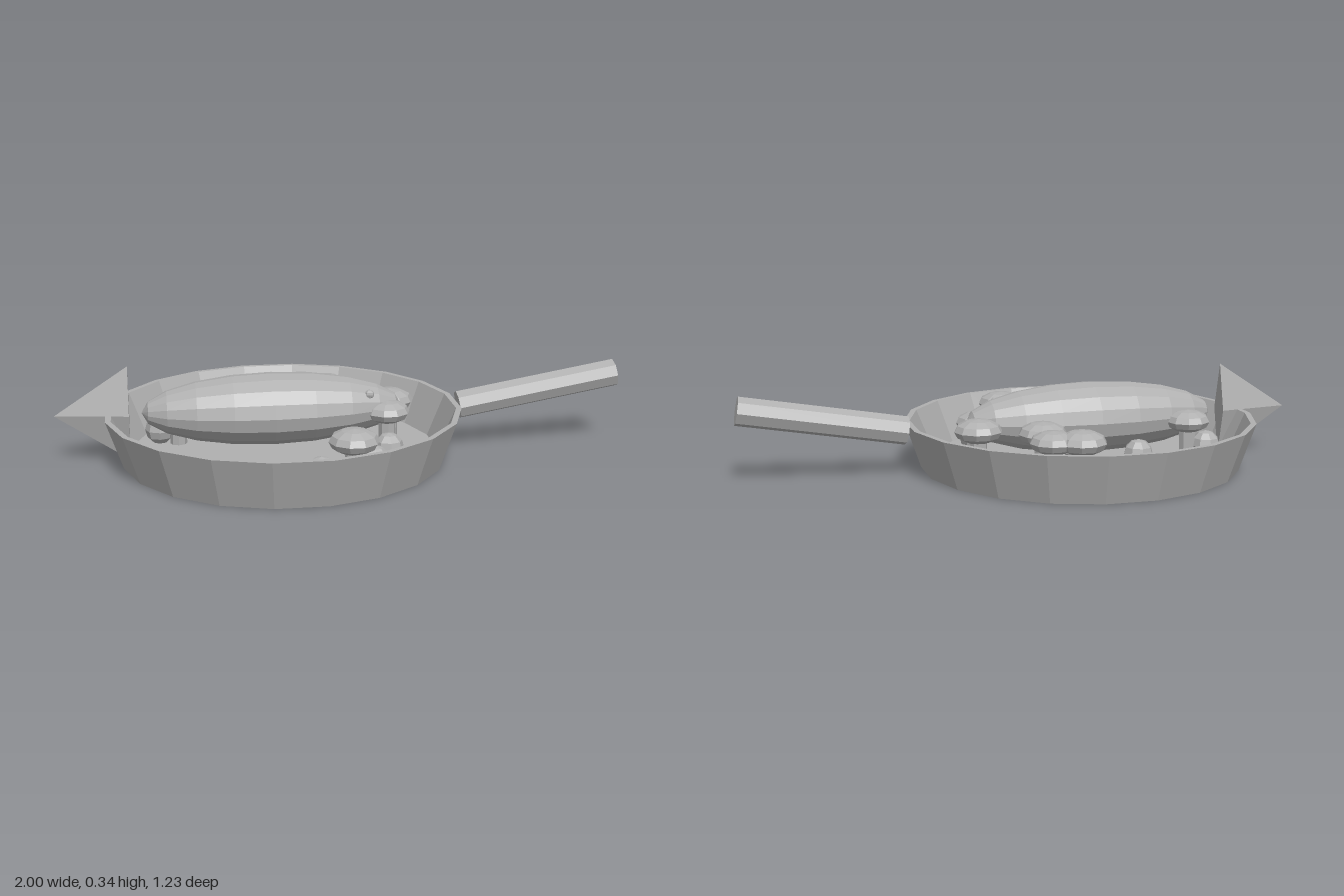
import * as THREE from 'three';

const grey = new THREE.MeshStandardMaterial({ color: 0xb0b0b0 });
grey.name = 'plain grey';

// Faceted mesh with one normal per face
function part(name, geometry, parent) {
  const flat = geometry.index ? geometry.toNonIndexed() : geometry;
  flat.computeVertexNormals();
  const mesh = new THREE.Mesh(flat, grey);
  mesh.name = name;
  parent.add(mesh);
  return mesh;
}

function group(name, parent) {
  const g = new THREE.Group();
  g.name = name;
  parent.add(g);
  return g;
}

const FLOOR = 0.02;

export function createModel() {
  const model = new THREE.Group();
  model.name = 'fishInPan';

  // Pan: closed wall section turned into twenty sides
  const section = [[0, 0], [0.567, 0], [0.625, 0.17], [0.605, 0.17], [0.54, FLOOR], [0, FLOOR]]
    .map(([r, y]) => new THREE.Vector2(r, y));
  part('pan', new THREE.LatheGeometry(section, 20, Math.PI / 20), model).position.x = -0.208;

  // Handle, tilted up away from the pan
  const handle = part('handle', new THREE.CylinderGeometry(0.05, 0.05, 0.583, 8), model);
  handle.position.set(0.705, 0.204, 0);
  handle.rotation.z = -Math.PI / 2 + 0.17;

  // Fish: long body, flat pyramid tail and one eye
  const fish = group('fish', model);
  const body = new THREE.SphereGeometry(1, 16, 10);
  body.rotateZ(Math.PI / 2).scale(0.455, 0.125, 0.153);
  part('fishBody', body, fish).position.set(-0.247, 0.17, 0);

  const tail = new THREE.ConeGeometry(0.168, 0.255, 4);
  tail.rotateZ(Math.PI / 2).scale(1, 1, 0.24);
  part('fishTail', tail, fish).position.set(-0.8725, 0.17, 0);

  part('fishEye', new THREE.SphereGeometry(0.017, 8, 6), fish).position.set(0.085, 0.225, 0.072);

  // Mushrooms: flattened cap on a short stem [x, z, cap radius]
  const mushrooms = [
    [-0.105, -0.355, 0.085], [-0.012, -0.33, 0.08], [-0.017, -0.19, 0.085],
    [0.185, -0.09, 0.085], [0.15, 0.06, 0.08], [-0.017, 0.388, 0.085], [-0.575, -0.115, 0.08],
  ];
  for (const [x, z, r] of mushrooms) {
    const mushroom = group('mushroom', model);
    mushroom.position.set(x, 0, z);
    part('mushroomCap', new THREE.SphereGeometry(r, 10, 6).scale(1, 0.5, 1), mushroom).position.y = 0.158;
    part('mushroomStem', new THREE.CylinderGeometry(0.03, 0.03, 0.14, 8), mushroom).position.y = FLOOR + 0.07;
  }

  // Small round vegetables on the pan floor [x, z]
  const balls = [
    [-0.25, -0.475], [-0.358, -0.205], [-0.168, -0.13], [-0.64, -0.13],
    [0.132, 0.2], [0.06, 0.335], [-0.13, 0.428],
  ];
  for (const [x, z] of balls) {
    part('roundVegetable', new THREE.SphereGeometry(0.053, 8, 6), model).position.set(x, FLOOR + 0.05, z);
  }

  return model;
}
